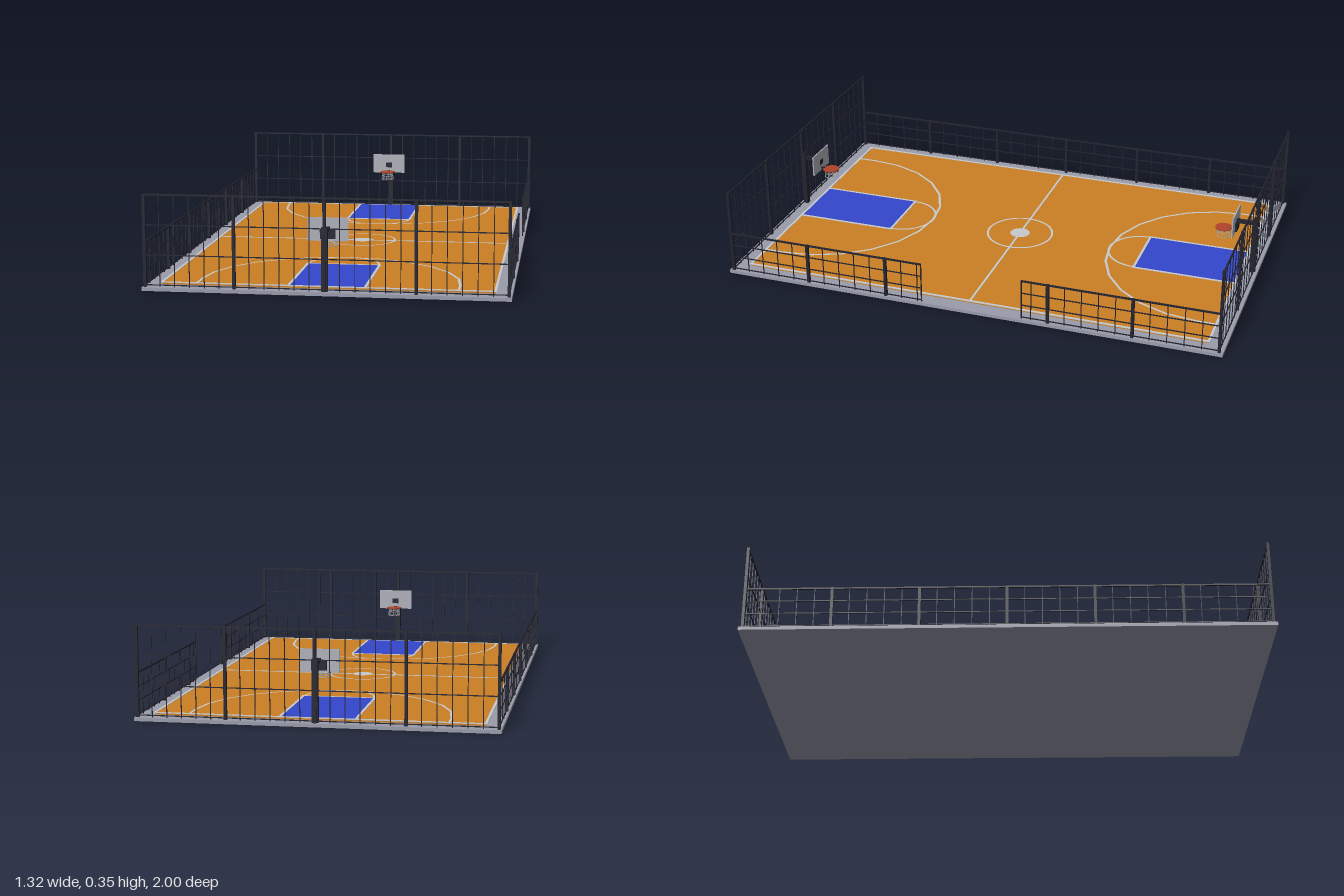
import * as THREE from 'three';

const mat = (name, color, side = THREE.FrontSide) => {
  const m = new THREE.MeshStandardMaterial({ color, side });
  m.name = name;
  return m;
};

export function createModel() {
  const concrete = mat('concrete grey', 0x9a9cab);
  const floor = mat('court orange', 0xcb7f22);
  const paint = mat('key blue', 0x3446cc);
  const white = mat('line white', 0xc8c9cc);
  const steel = mat('dark steel', 0x22232f);
  const boardGrey = mat('board grey', 0xb0b1ba);
  const rimRed = mat('rim red', 0xb0432a);
  const netGrey = mat('net grey', 0xb5b6b8);

  const model = new THREE.Group();
  model.name = 'basketballCourt';

  const add = (parent, name, geo, material, x = 0, y = 0, z = 0) => {
    const m = new THREE.Mesh(geo, material);
    m.name = name;
    m.position.set(x, y, z);
    parent.add(m);
    return m;
  };
  const box = (parent, name, material, w, h, d, x, y, z) =>
    add(parent, name, new THREE.BoxGeometry(w, h, d), material, x, y, z);
  const ring = (parent, name, r0, r1, segs, arc, y, z) =>
    add(parent, name, new THREE.RingGeometry(r0, r1, segs, 1, 0, arc).rotateX(-Math.PI / 2), white, 0, y, z);
  // Straight bar between two points
  const bar = (parent, name, material, a, b, r) => {
    const d = b.clone().sub(a);
    const m = add(parent, name, new THREE.CylinderGeometry(r, r, d.length(), 5), material);
    m.position.copy(a).add(b).multiplyScalar(0.5);
    m.quaternion.setFromUnitVectors(new THREE.Vector3(0, 1, 0), d.normalize());
  };

  // Ground slab and playing surface
  box(model, 'slab', concrete, 1.32, 0.013, 2, 0, 0.0065, 0);
  box(model, 'courtFloor', floor, 1.2, 0.009, 1.87, 0, 0.0165, 0);

  // Outer and centre markings
  const lineY = 0.0222;
  for (const s of [-1, 1]) {
    box(model, 'sideLine', white, 0.01, 0.003, 1.88, s * 0.6, 0.021, 0);
    box(model, 'baseLine', white, 1.2, 0.003, 0.01, 0, 0.021, s * 0.935);
  }
  box(model, 'halfwayLine', white, 1.2, 0.002, 0.009, 0, 0.0212, 0);
  ring(model, 'centreCircle', 0.13, 0.139, 32, Math.PI * 2, lineY + 0.0006, 0);
  ring(model, 'centreSpot', 0, 0.041, 20, Math.PI * 2, lineY + 0.0006, 0);

  // One end of the court: markings and hoop, facing the centre
  function makeEnd() {
    const end = new THREE.Group();
    end.name = 'courtEnd';
    box(end, 'key', paint, 0.27, 0.002, 0.41, 0, 0.0212, 0.728);
    for (const s of [-1, 1]) {
      box(end, 'keySideLine', white, 0.01, 0.003, 0.41, s * 0.138, 0.0213, 0.728);
      box(end, 'arcStraight', white, 0.009, 0.002, 0.075, s * 0.471, 0.0212, 0.8975);
    }
    box(end, 'freeThrowLine', white, 0.286, 0.003, 0.01, 0, 0.0213, 0.525);
    ring(end, 'freeThrowArc', 0.13, 0.139, 16, Math.PI, lineY, 0.522);
    ring(end, 'longArc', 0.466, 0.476, 12, Math.PI, lineY, 0.86);

    // Pole, arm and backboard
    box(end, 'hoopPole', steel, 0.022, 0.23, 0.018, 0, 0.127, 0.977);
    box(end, 'hoopArm', steel, 0.014, 0.014, 0.08, 0, 0.226, 0.942);
    box(end, 'backboard', boardGrey, 0.147, 0.085, 0.005, 0, 0.2225, 0.9);
    box(end, 'boardBracket', steel, 0.056, 0.036, 0.008, 0, 0.207, 0.9065);
    box(end, 'boardTarget', steel, 0.028, 0.022, 0.002, 0, 0.216, 0.897);

    // Rim and net
    const rimZ = 0.853, rimY = 0.189;
    box(end, 'rimBracket', steel, 0.012, 0.006, 0.018, 0, rimY, 0.89);
    add(end, 'rim', new THREE.CylinderGeometry(0.034, 0.034, 0.004, 16), rimRed, 0, rimY, rimZ);
    const net = new THREE.Group();
    net.name = 'net';
    net.position.set(0, 0, rimZ);
    end.add(net);
    const n = 8;
    for (let i = 0; i < n; i++) {
      const a = (i / n) * Math.PI * 2;
      const p = (r, y) => new THREE.Vector3(Math.cos(a) * r, y, Math.sin(a) * r);
      bar(net, 'netCord', netGrey, p(0.022, rimY - 0.002), p(0.027, 0.156), 0.0013);
    }
    for (const [r, y] of [[0.0245, 0.172], [0.027, 0.156]]) {
      add(net, 'netLoop', new THREE.TorusGeometry(r, 0.0013, 4, 16).rotateX(Math.PI / 2), netGrey, 0, y, 0);
    }
    return end;
  }
  const frontEnd = makeEnd();
  const backEnd = makeEnd();
  backEnd.rotation.y = Math.PI;
  model.add(frontEnd, backEnd);

  // Fence along local x: posts, four rails and thin wires, with an optional gap
  function makeFence(name, half, bays, perBay, top, gap) {
    const fence = new THREE.Group();
    fence.name = name;
    const bottom = 0.02;
    const spans = gap ? [[-half, gap[0]], [gap[1], half]] : [[-half, half]];
    for (const [a, b] of spans) {
      for (let i = 0; i < 4; i++) {
        const t = i === 3 ? 0.006 : 0.0035;
        box(fence, 'rail', steel, b - a, t, t, (a + b) / 2, bottom + (top - bottom - 0.003) * i / 3, 0);
      }
    }
    const inGap = (x) => gap && x > gap[0] && x < gap[1];
    const count = bays * perBay;
    for (let i = 0; i <= count; i++) {
      const x = -half + (2 * half * i) / count;
      if (inGap(x)) continue;
      const post = i % perBay === 0;
      const w = post ? 0.011 : 0.003;
      box(fence, post ? 'post' : 'wire', steel, w, top - 0.012, w, x, (top + 0.012) / 2, 0);
    }
    // Thin uprights closing the gap
    if (gap) for (const x of gap) box(fence, 'gapUpright', steel, 0.004, top - 0.012, 0.004, x, (top + 0.012) / 2, 0);
    model.add(fence);
    return fence;
  }
  makeFence('frontFence', 0.65, 4, 6, 0.35).position.z = 0.985;
  makeFence('backFence', 0.65, 4, 6, 0.35).position.z = -0.985;
  const leftFence = makeFence('leftFence', 0.985, 6, 5, 0.177, [-0.18, 0.225]);
  leftFence.position.x = 0.65;
  leftFence.rotation.y = Math.PI / 2;
  const rightFence = makeFence('rightFence', 0.985, 6, 5, 0.177);
  rightFence.position.x = -0.65;
  rightFence.rotation.y = Math.PI / 2;

  return model;
}
